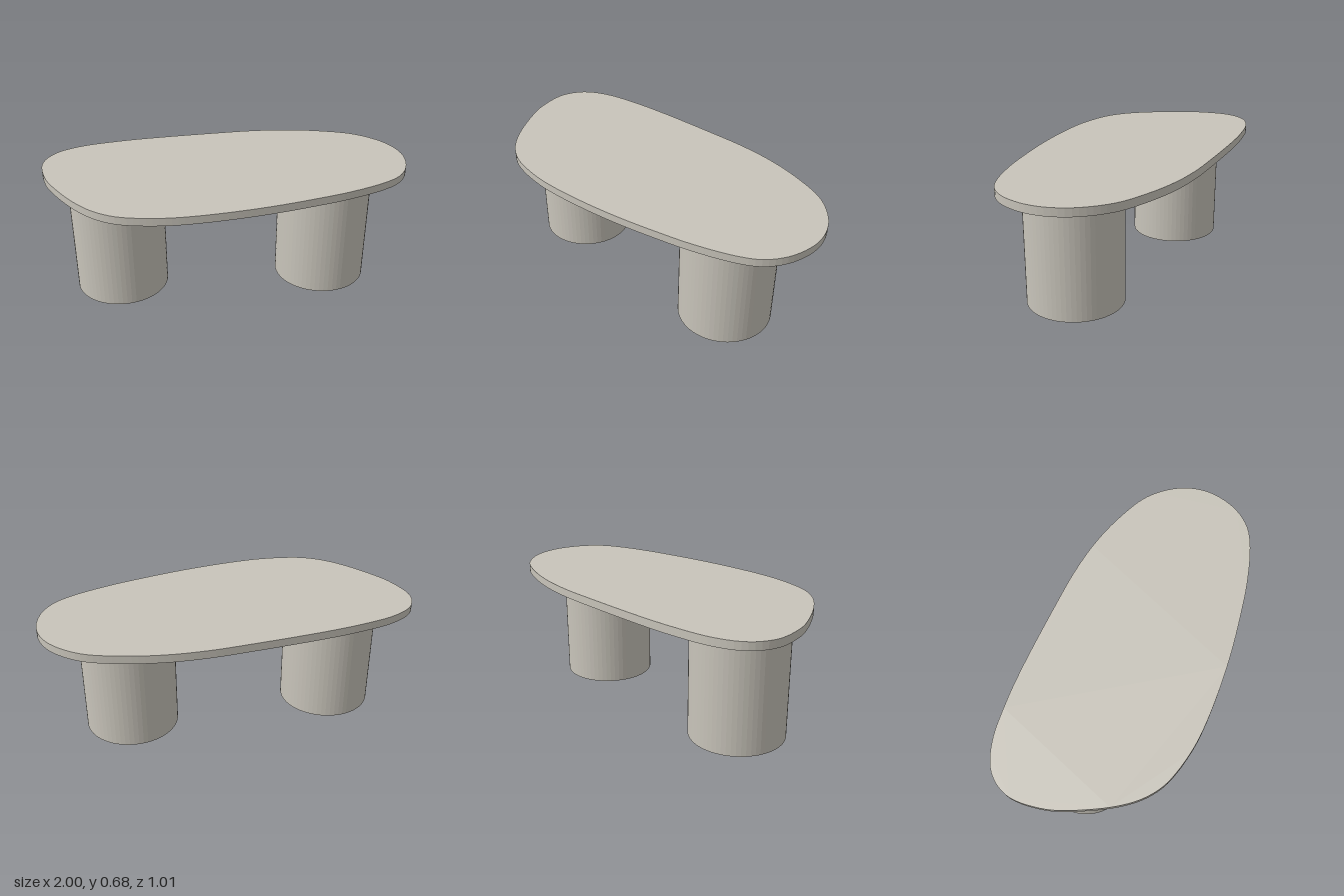
import * as THREE from 'three';

const HEIGHT = 0.676;
const THICKNESS = 0.043;

// Control points (x, z) of the pebble-shaped tabletop
const OUTLINE = [
  [0.2, -0.51], [0.4, -0.502], [0.6, -0.466], [0.8, -0.395], [0.93, -0.278],
  [0.985, -0.17], [1, -0.06], [0.97, 0.08], [0.9, 0.185], [0.8, 0.252],
  [0.6, 0.333], [0.4, 0.39], [0.2, 0.438], [0, 0.474], [-0.2, 0.498],
  [-0.34, 0.503], [-0.5, 0.486], [-0.6, 0.458], [-0.7, 0.397], [-0.8, 0.292],
  [-0.925, 0.1], [-0.97, 0], [-1, -0.16], [-0.975, -0.255], [-0.92, -0.325],
  [-0.8, -0.39], [-0.6, -0.437], [-0.4, -0.465], [0, -0.499],
];

export function createModel() {
  const group = new THREE.Group();
  const stone = new THREE.MeshStandardMaterial({ color: 0xc8c4ba, flatShading: true });
  stone.name = 'warm grey stone';

  // Tabletop: smooth closed outline, extruded and laid flat
  const curve = new THREE.CatmullRomCurve3(
    OUTLINE.map(([x, z]) => new THREE.Vector3(x, z, 0)), true);
  const outline = curve.getSpacedPoints(160).slice(0, -1)
    .map((p) => new THREE.Vector2(p.x, p.y));
  const topGeometry = new THREE.ExtrudeGeometry(new THREE.Shape(outline), {
    depth: THICKNESS, bevelEnabled: false,
  });
  topGeometry.rotateX(Math.PI / 2);
  const top = new THREE.Mesh(topGeometry, stone);
  top.name = 'tabletop';
  top.position.y = HEIGHT;
  group.add(top);

  // Two drum legs
  const legHeight = HEIGHT - THICKNESS;
  const legGeometry = new THREE.CylinderGeometry(0.255, 0.255, legHeight, 64);
  for (const [name, x] of [['rightLeg', -0.602], ['leftLeg', 0.544]]) {
    const leg = new THREE.Mesh(legGeometry, stone);
    leg.name = name;
    leg.position.set(x, legHeight / 2, -0.012);
    group.add(leg);
  }
  return group;
}
